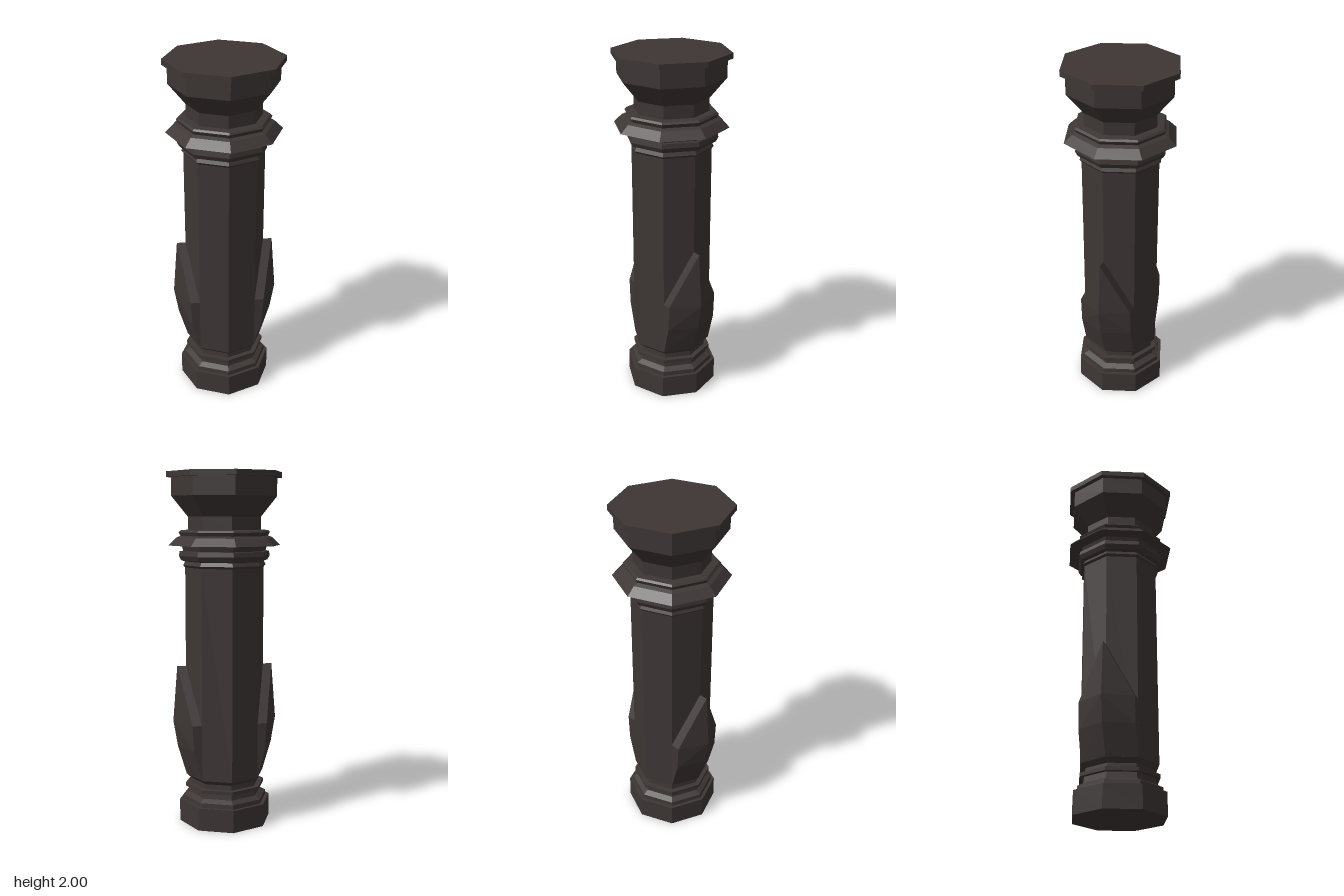
import * as THREE from 'three';

const SIDES = 8;

// Eight-sided turned piece with faceted normals; profile is [radius, height] from bottom to top
function turned(name, profile, material) {
  const points = profile.map(([r, y]) => new THREE.Vector2(r, y));
  const geometry = new THREE.LatheGeometry(points, SIDES).toNonIndexed();
  geometry.computeVertexNormals();
  const mesh = new THREE.Mesh(geometry, material);
  mesh.name = name;
  return mesh;
}

// Pointed buttress hugging two faces of the shaft on the +x side
function buttress(name, material) {
  const edge = 0.159;
  // Cross-sections: [height, centre x, side x]
  const sections = [[0.28, 0.225, 0.159], [0.45, 0.275, 0.205], [0.6, 0.3, 0.212]];
  const apex = [0.275, 0.915, 0];
  const apexInner = [0.22, 0.915, 0];
  const positions = [];
  const tri = (a, b, c, flip) => positions.push(...a, ...(flip ? c : b), ...(flip ? b : c));
  const quad = (a, b, c, d, flip) => { tri(a, b, c, flip); tri(a, c, d, flip); };

  for (const s of [1, -1]) {
    const flip = s < 0;
    const centre = ([y, x]) => [x, y, 0];
    const side = ([y, , x]) => [x, y, s * edge];
    const inner = ([y]) => [edge, y, s * edge];
    for (let i = 0; i < sections.length - 1; i++) {
      const lo = sections[i], hi = sections[i + 1];
      quad(side(lo), centre(lo), centre(hi), side(hi), flip);   // outer face
      quad(inner(lo), side(lo), side(hi), inner(hi), flip);     // flank
    }
    const top = sections[sections.length - 1];
    tri(side(top), centre(top), apex, flip);                    // pointed tip
    quad(inner(top), side(top), apex, apexInner, flip);         // sloping shoulder
  }

  const geometry = new THREE.BufferGeometry();
  geometry.setAttribute('position', new THREE.Float32BufferAttribute(positions, 3));
  geometry.computeVertexNormals();
  const mesh = new THREE.Mesh(geometry, material);
  mesh.name = name;
  return mesh;
}

export function createModel() {
  const stone = new THREE.MeshStandardMaterial({ color: 0x3d3635 });
  stone.name = 'dark stone';

  const pillar = new THREE.Group();
  pillar.name = 'pillar';

  // Plinth with stepped mouldings and a thin ring
  pillar.add(turned('base', [
    [0, 0], [0.265, 0], [0.265, 0.13], [0.245, 0.13], [0.243, 0.155], [0.21, 0.172],
    [0.205, 0.207], [0.23, 0.207], [0.23, 0.227], [0.2, 0.227], [0.198, 0.255], [0.225, 0.28],
  ], stone));

  pillar.add(turned('shaft', [[0.225, 0.28], [0.225, 1.475]], stone));

  // Lower collar and overhanging lip
  pillar.add(turned('collar', [
    [0.225, 1.475], [0.236, 1.487], [0.225, 1.508], [0.247, 1.515], [0.26, 1.54], [0.255, 1.565],
    [0.235, 1.567], [0.245, 1.597], [0.32, 1.597], [0.275, 1.64], [0.25, 1.65],
    [0.26, 1.67], [0.25, 1.68], [0.208, 1.684],
  ], stone));

  // Neck, flared capital and top slab
  pillar.add(turned('capital', [
    [0.208, 1.684], [0.208, 1.755], [0.3, 1.868], [0.3, 1.97],
    [0.328, 1.97], [0.328, 2], [0, 2],
  ], stone));

  // Buttresses on both sides
  const left = buttress('leftButtress', stone);
  const right = buttress('rightButtress', stone);
  right.rotation.y = Math.PI;
  pillar.add(left, right);

  return pillar;
}
